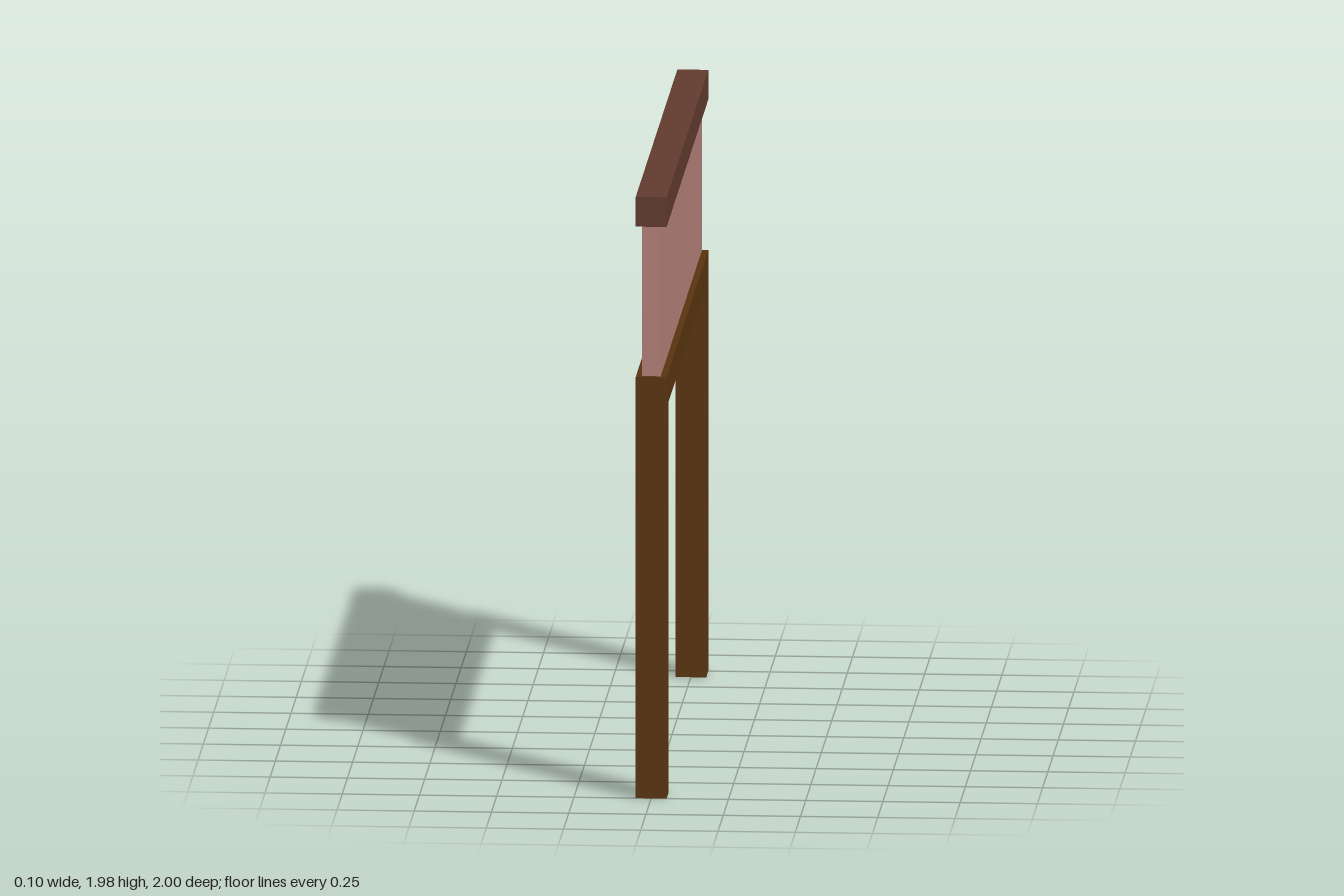
import * as THREE from 'three';

const frameMat = new THREE.MeshStandardMaterial({ color: 0x59340e, side: THREE.DoubleSide });
frameMat.name = 'dark oak';
const panelMat = new THREE.MeshStandardMaterial({ color: 0xb37f79 });
panelMat.name = 'dusty pink';
const railMat = new THREE.MeshStandardMaterial({ color: 0x613a2d });
railMat.name = 'red brown';

// Portal outline (z across, y up) extruded along x, with hollow, open leg ends
function portalGeometry(half, height, bar, depth) {
  const inner = half - bar;
  const shape = new THREE.Shape([
    [-half, 0], [-inner, 0], [-inner, height - bar], [inner, height - bar],
    [inner, 0], [half, 0], [half, height], [-half, height],
  ].map(([z, y]) => new THREE.Vector2(z, y)));
  const solid = new THREE.ExtrudeGeometry(shape, { depth, bevelEnabled: false });
  solid.translate(0, 0, -depth / 2).rotateY(Math.PI / 2);

  // Drop the faces that lie on the floor
  const p = solid.attributes.position;
  const kept = [];
  for (let i = 0; i < p.count; i += 3) {
    const onFloor = [0, 1, 2].every((k) => Math.abs(p.getY(i + k)) < 1e-5);
    if (!onFloor) kept.push(i, i + 1, i + 2);
  }
  solid.clearGroups();
  solid.setIndex(kept);
  return solid;
}

export function createModel() {
  const model = new THREE.Group();
  model.name = 'panelledGateFrame';

  const add = (name, geometry, material, y = 0) => {
    const mesh = new THREE.Mesh(geometry, material);
    mesh.name = name;
    mesh.position.y = y;
    model.add(mesh);
  };

  // Two legs joined by a cross beam
  add('legsAndBeam', portalGeometry(1, 1.39, 0.1, 0.1), frameMat);
  // Upright panel standing on the beam
  add('panel', new THREE.BoxGeometry(0.06, 0.496, 1.97), panelMat, 1.638);
  // Rail capping the panel
  add('topRail', new THREE.BoxGeometry(0.1, 0.098, 2), railMat, 1.935);

  return model;
}
